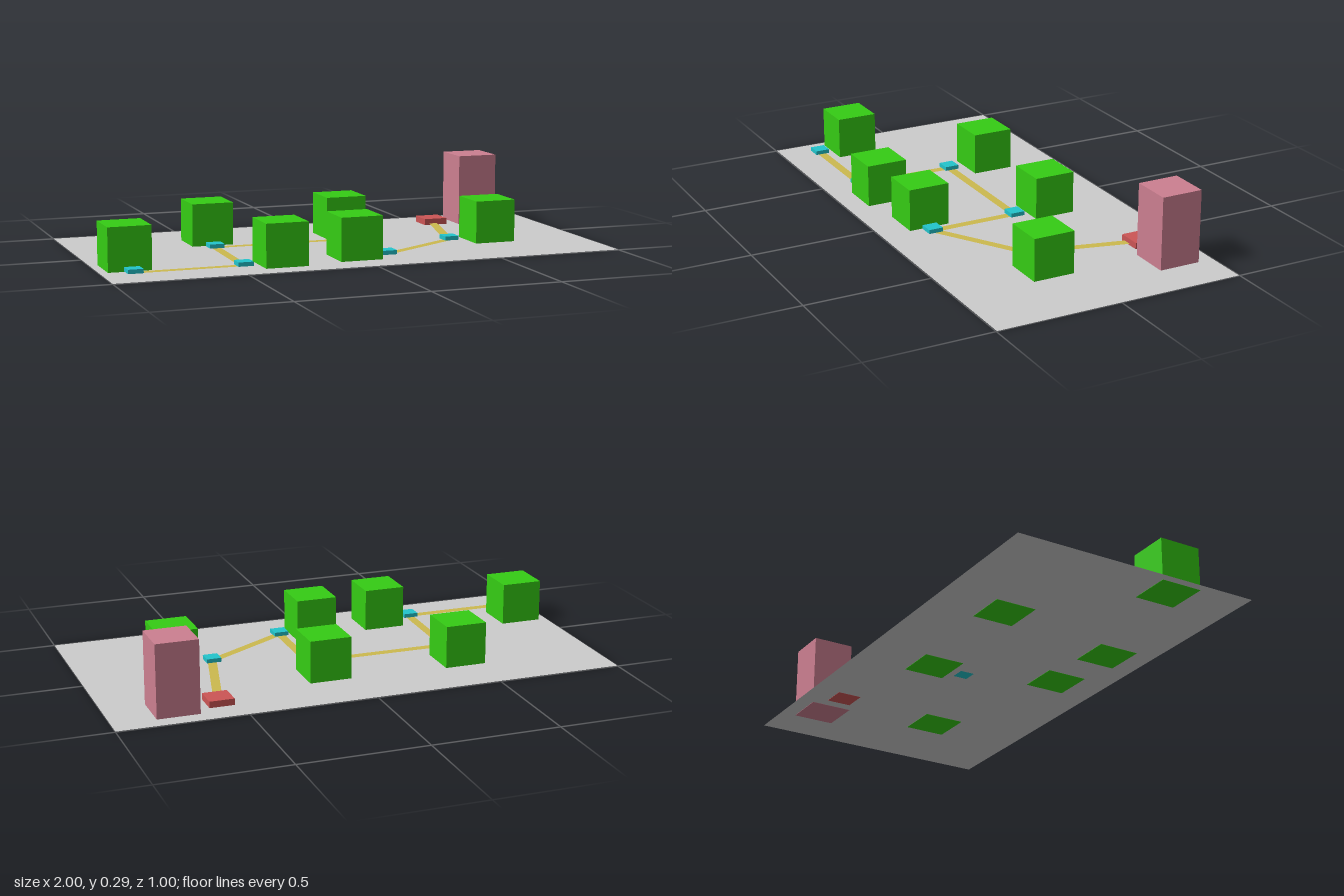
import * as THREE from 'three';

const mat = (color, extra = {}) => new THREE.MeshStandardMaterial({ color, ...extra });

export function createModel() {
  const model = new THREE.Group();
  const grey = mat(0xcccccc, { side: THREE.DoubleSide });
  const green = mat(0x35cc14);
  const pink = mat(0xcc7f90);
  const red = mat(0xcc5555);
  const cyan = mat(0x22c4cc);
  const yellow = mat(0xccb94f, { side: THREE.DoubleSide });

  const add = (name, geometry, material, x, y, z) => {
    const mesh = new THREE.Mesh(geometry, material);
    mesh.name = name;
    mesh.position.set(x, y, z);
    model.add(mesh);
    return mesh;
  };
  // Square block resting at height y0
  const block = (name, material, size, height, x, z, y0 = 0) =>
    add(name, new THREE.BoxGeometry(size, height, size), material, x, y0 + height / 2, z);
  const sheet = (w, d) => new THREE.PlaneGeometry(w, d).rotateX(-Math.PI / 2);

  // Thin ground sheet, just above the undersides of the blocks
  add('ground', sheet(2, 0.995), grey, 0, 0.001, 0);

  // Houses
  [[-0.885, 0.208], [-0.447, -0.21], [-0.322, 0.329], [-0.015, 0.295], [0.104, -0.191], [0.621, 0.105]]
    .forEach(([x, z], i) => block('house' + (i + 1), green, 0.165, 0.168, x, z));

  // Tower and the start pad beside it
  block('tower', pink, 0.165, 0.287, 0.749, -0.352);
  block('startPad', red, 0.097, 0.026, 0.572, -0.342);

  // Waypoints of the route, raised slightly above the ground
  const points = [[-0.885, 0.346], [-0.47, 0.346], [-0.46, -0.054], [0.115, -0.051], [0.115, 0.304], [0.465, 0.09]];
  points.forEach(([x, z], i) => block('waypoint' + (i + 1), cyan, 0.058, 0.016, x, z, 0.008));
  // Footprint under one waypoint
  add('waypointFootprint', sheet(0.058, 0.058).rotateX(Math.PI), cyan, 0.115, 0, -0.051);

  // Flat path strips linking the waypoints to the start pad
  const route = [...points, [0.572, -0.342]];
  for (let i = 0; i < route.length - 1; i++) {
    const [x1, z1] = route[i], [x2, z2] = route[i + 1];
    const strip = add('path' + (i + 1), sheet(Math.hypot(x2 - x1, z2 - z1), 0.035), yellow,
      (x1 + x2) / 2, 0.007, (z1 + z2) / 2);
    strip.rotation.y = -Math.atan2(z2 - z1, x2 - x1);
  }
  return model;
}
